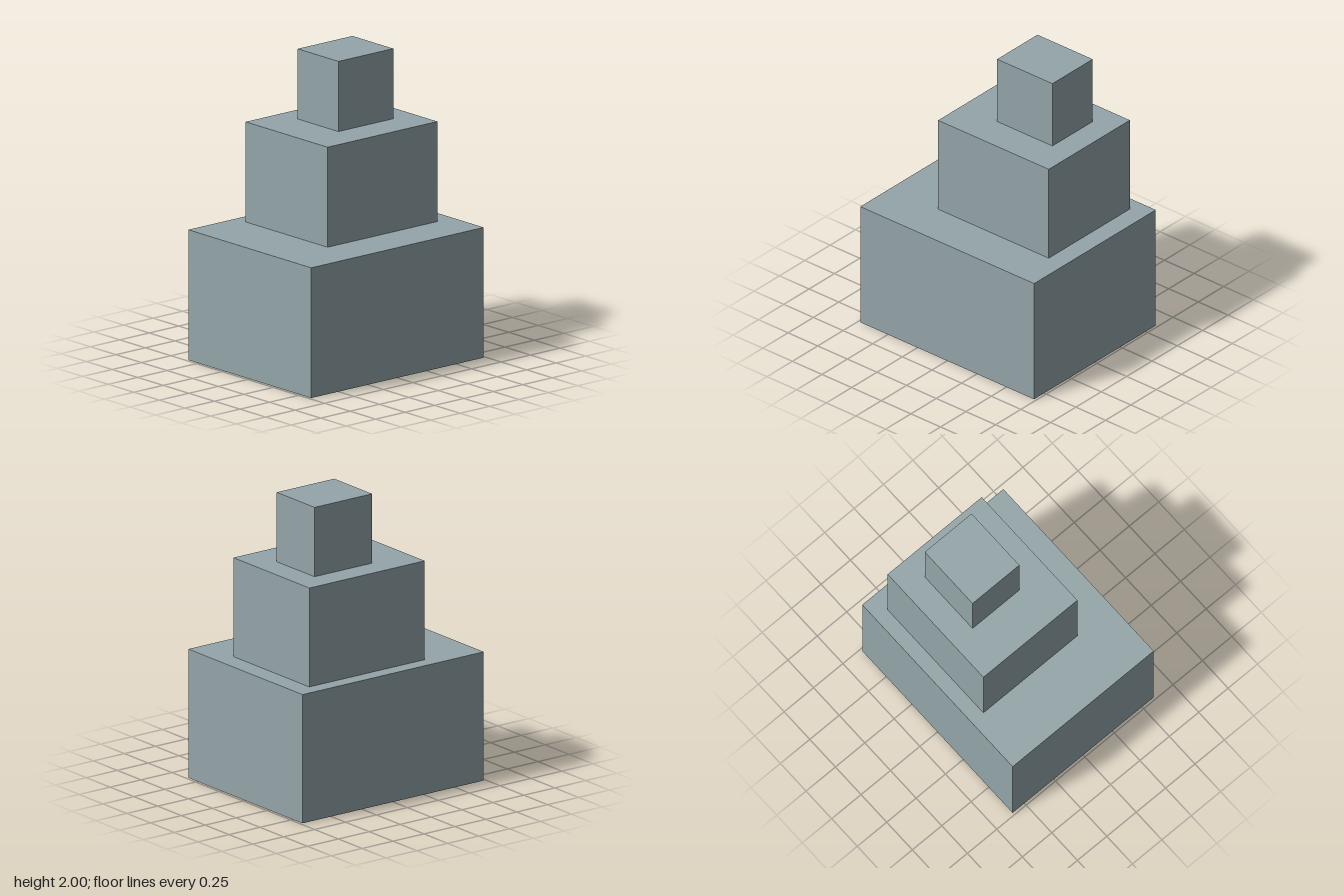
import * as THREE from 'three';

// Box without its bottom face, given by its extents
function openBox(name, [x0, x1], [y0, y1], [z0, z1], material) {
  const geometry = new THREE.BoxGeometry(x1 - x0, y1 - y0, z1 - z0);
  // Face order is +x, -x, +y, -y, +z, -z with six indices each: drop -y
  const index = Array.from(geometry.index.array);
  index.splice(18, 6);
  geometry.setIndex(index);
  geometry.clearGroups();
  const mesh = new THREE.Mesh(geometry, material);
  mesh.name = name;
  mesh.position.set((x0 + x1) / 2, (y0 + y1) / 2, (z0 + z1) / 2);
  return mesh;
}

export function createModel() {
  const model = new THREE.Group();
  model.name = 'steppedTower';

  const stone = new THREE.MeshStandardMaterial({ color: 0x94a5a9, side: THREE.DoubleSide });
  stone.name = 'greyStone';

  // Three stacked hollow tiers, each set back off-centre
  model.add(
    openBox('lowerTier', [-0.733, 0.733], [0, 0.867], [-0.6, 0.6], stone),
    openBox('middleTier', [-0.333, 0.6], [0.867, 1.533], [-0.5, 0.3], stone),
    openBox('upperTier', [-0.036, 0.43], [1.533, 2], [-0.333, 0.065], stone),
  );
  return model;
}
